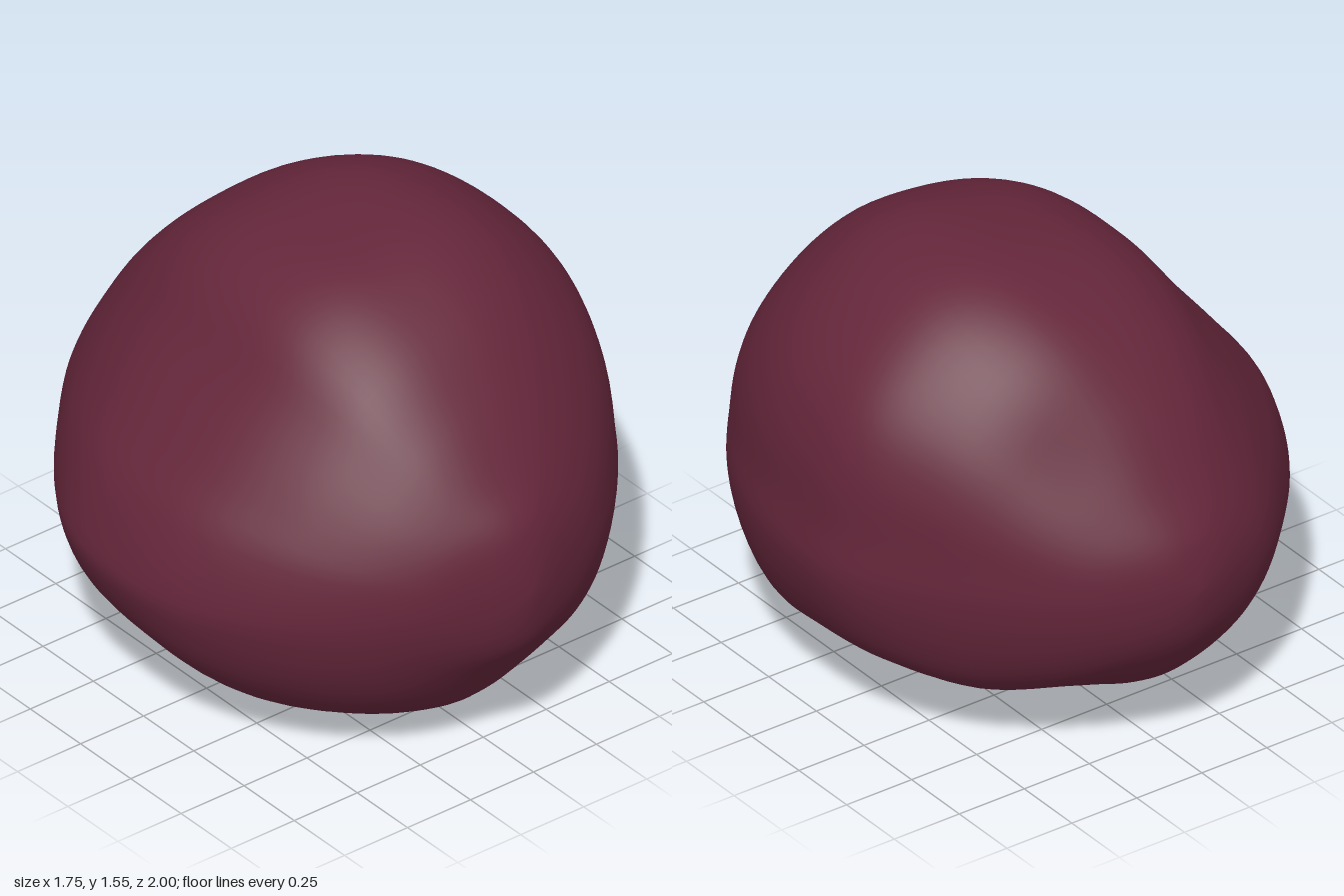
import * as THREE from 'three';

const MID = 0.66; // height of the two tips

// Outline of the widest section (x, y), clockwise from the -x side
const outline = [
  [-0.88, 0.6], [-0.8, 0.82], [-0.68, 0.98], [-0.5, 1.2], [-0.36, 1.38], [-0.2, 1.48], [0, 1.53],
  [0.25, 1.55], [0.45, 1.49], [0.64, 1.35], [0.77, 1.19], [0.84, 1.0], [0.86, 0.8], [0.875, 0.65],
  [0.83, 0.45], [0.74, 0.28], [0.6, 0.18], [0.4, 0.135], [0.25, 0.09], [0.1, 0.03], [-0.08, 0],
  [-0.25, 0.03], [-0.42, 0.08], [-0.62, 0.17], [-0.78, 0.32], [-0.86, 0.48],
];

// Extents of the sections from front tip to back tip, at z = cos(15 degree steps)
const extents = {
  left: [0, 0.15, 0.37, 0.565, 0.73, 0.845, 0.88, 0.84, 0.705, 0.53, 0.355, 0.15, 0],
  right: [0, 0.14, 0.36, 0.56, 0.73, 0.835, 0.875, 0.855, 0.72, 0.545, 0.36, 0.16, 0],
  top: [0.66, 0.86, 1.01, 1.205, 1.4, 1.52, 1.55, 1.52, 1.405, 1.205, 0.965, 0.81, 0.66],
  bottom: [0.66, 0.47, 0.33, 0.135, 0.03, 0, 0.055, 0.08, 0.08, 0.185, 0.335, 0.49, 0.66],
};

// Shallow hollows: centre, radius, depth
const hollows = [
  [new THREE.Vector3(0.28, 1.08, -0.72), 0.2, 0.025],
  [new THREE.Vector3(0.12, 0.16, -0.5), 0.2, 0.025],
];

// Smooth interpolation through evenly spaced values
function sample(values, t) {
  return new THREE.SplineCurve(values.map((v, i) => new THREE.Vector2(i, v))).getPoint(t).y;
}

function lumpGeometry(rings, sides) {
  const curve = new THREE.CatmullRomCurve3(
    outline.map(([x, y]) => new THREE.Vector3(x / 0.88, (y - MID) / (y > MID ? 1.55 - MID : MID), 0)).reverse(), true);
  const shape = Array.from({ length: sides }, (_, j) => curve.getPoint(j / sides));
  const positions = [], index = [], p = new THREE.Vector3();
  const centre = new THREE.Vector3(0, 0.75, 0);

  const add = (x, y, z) => {
    p.set(x, y, z);
    const inward = centre.clone().sub(p).normalize();
    let push = 0;
    for (const [c, r, depth] of hollows) push += depth * Math.exp(-p.distanceToSquared(c) / (r * r));
    p.addScaledVector(inward, push);
    positions.push(p.x, p.y, p.z);
  };

  // Cross-sections along z, growing rounder toward the tips
  add(0, MID, 1);
  for (let i = 1; i < rings; i++) {
    const t = i / rings, z = Math.cos(Math.PI * t), round = z * z;
    const left = sample(extents.left, t), right = sample(extents.right, t);
    const up = sample(extents.top, t) - MID, down = MID - sample(extents.bottom, t);
    for (const s of shape) {
      const len = Math.hypot(s.x, s.y);
      const u = THREE.MathUtils.lerp(s.x, s.x / len, round);
      const v = THREE.MathUtils.lerp(s.y, s.y / len, round);
      add(u * (u < 0 ? left : right), MID + v * (v > 0 ? up : down), z);
    }
  }
  add(0, MID, -1);

  // Join the rings and close both tips
  const at = (i, j) => 1 + (i - 1) * sides + (j % sides);
  const last = 1 + (rings - 1) * sides;
  for (let j = 0; j < sides; j++) {
    index.push(0, at(1, j), at(1, j + 1));
    for (let i = 1; i < rings - 1; i++) {
      index.push(at(i, j), at(i + 1, j), at(i + 1, j + 1), at(i, j), at(i + 1, j + 1), at(i, j + 1));
    }
    index.push(last, at(rings - 1, j + 1), at(rings - 1, j));
  }

  const geometry = new THREE.BufferGeometry();
  geometry.setAttribute('position', new THREE.Float32BufferAttribute(positions, 3));
  geometry.setIndex(index);
  geometry.computeVertexNormals();
  return geometry;
}

export function createModel() {
  const group = new THREE.Group();
  group.name = 'lump';
  const plum = new THREE.MeshStandardMaterial({ color: 0x64263a });
  plum.name = 'plum';
  const body = new THREE.Mesh(lumpGeometry(72, 104), plum);
  body.name = 'body';
  group.add(body);
  return group;
}
